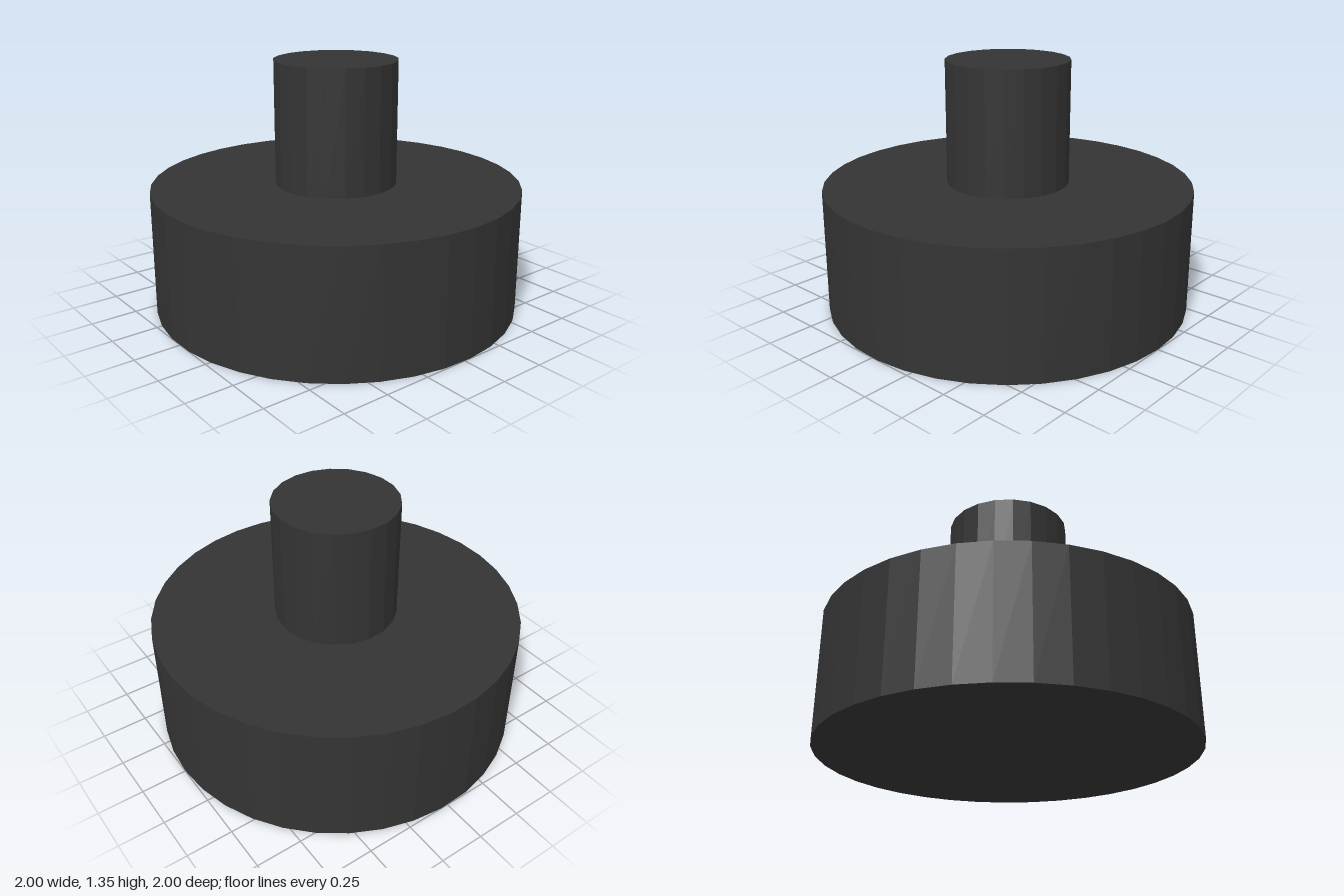
import * as THREE from 'three';

export function createModel() {
  const group = new THREE.Group();
  const material = new THREE.MeshStandardMaterial({ color: 0x343434, flatShading: true });

  // Faceted upright cylinder with one corner pointing to the back
  const addDisc = (name, radius, bottom, top, sides) => {
    const geometry = new THREE.CylinderGeometry(radius, radius, top - bottom, sides, 1, false, Math.PI);
    const mesh = new THREE.Mesh(geometry, material);
    mesh.name = name;
    mesh.position.set(0, (bottom + top) / 2, 0.002);
    group.add(mesh);
  };

  // Wide base and narrow stem on top
  addDisc('base', 1.001, 0, 0.677, 37);
  addDisc('stem', 0.333, 0.677, 1.346, 21);

  return group;
}
